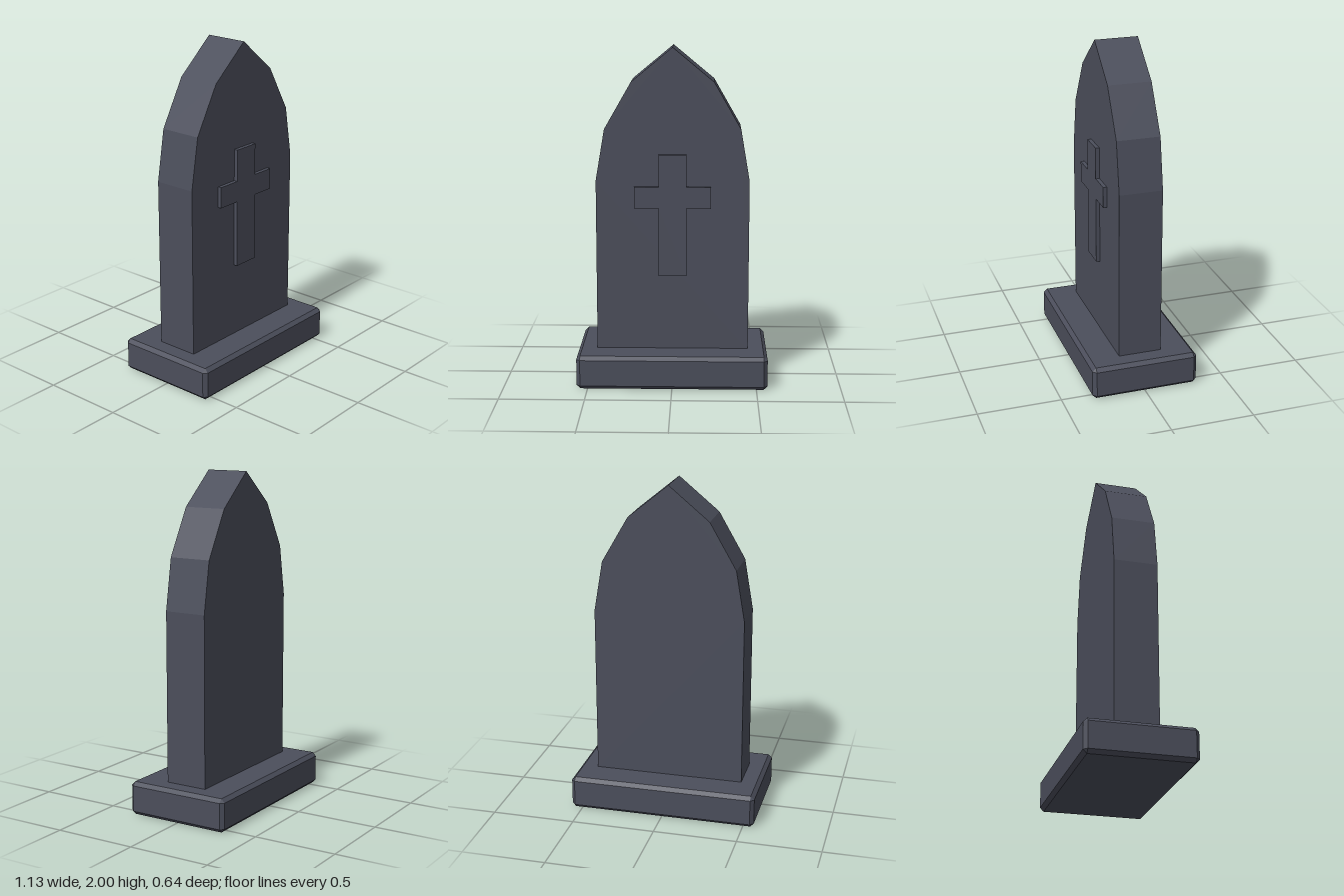
import * as THREE from 'three';
import { ConvexGeometry } from 'three/addons/geometries/ConvexGeometry.js';

// Box with every edge and corner cut flat by c
function chamferedBox(w, h, d, c) {
  const half = [w / 2, h / 2, d / 2];
  const points = [];
  for (const sx of [-1, 1]) for (const sy of [-1, 1]) for (const sz of [-1, 1]) {
    for (let axis = 0; axis < 3; axis++) {
      const [x, y, z] = half.map((v, i) => (i === axis ? v : v - c));
      points.push(new THREE.Vector3(sx * x, sy * y, sz * z));
    }
  }
  return new ConvexGeometry(points);
}

// Extrudes an outline mirrored about x = 0; the right half runs bottom to top
function mirroredPlate(rightHalf, depth) {
  const leftHalf = rightHalf.filter(([x]) => x > 0).map(([x, y]) => [-x, y]).reverse();
  const outline = [...rightHalf, ...leftHalf].map(([x, y]) => new THREE.Vector2(x, y));
  return new THREE.ExtrudeGeometry(new THREE.Shape(outline), { depth, bevelEnabled: false });
}

export function createModel() {
  const model = new THREE.Group();
  model.name = 'gravestone';

  const stone = new THREE.MeshStandardMaterial({ color: 0x4b4e5b });
  stone.name = 'dark stone';
  stone.flatShading = true;

  const add = (name, geometry, y, z) => {
    const mesh = new THREE.Mesh(geometry, stone);
    mesh.name = name;
    mesh.position.set(0, y, z);
    model.add(mesh);
  };

  // Plinth
  add('base', chamferedBox(1.13, 0.2, 0.645, 0.022), 0.1, 0);

  // Upright slab with a pointed arch top
  add('slab', mirroredPlate([
    [0.452, 0.19], [0.452, 1.22], [0.4, 1.525], [0.242, 1.8], [0, 2],
  ], 0.26), 0, -0.13);

  // Raised cross on the front face
  add('cross', mirroredPlate([
    [0.082, 0.652], [0.082, 1.06], [0.226, 1.06], [0.226, 1.187], [0.082, 1.187], [0.082, 1.378],
  ], 0.033), 0, 0.12);

  return model;
}
